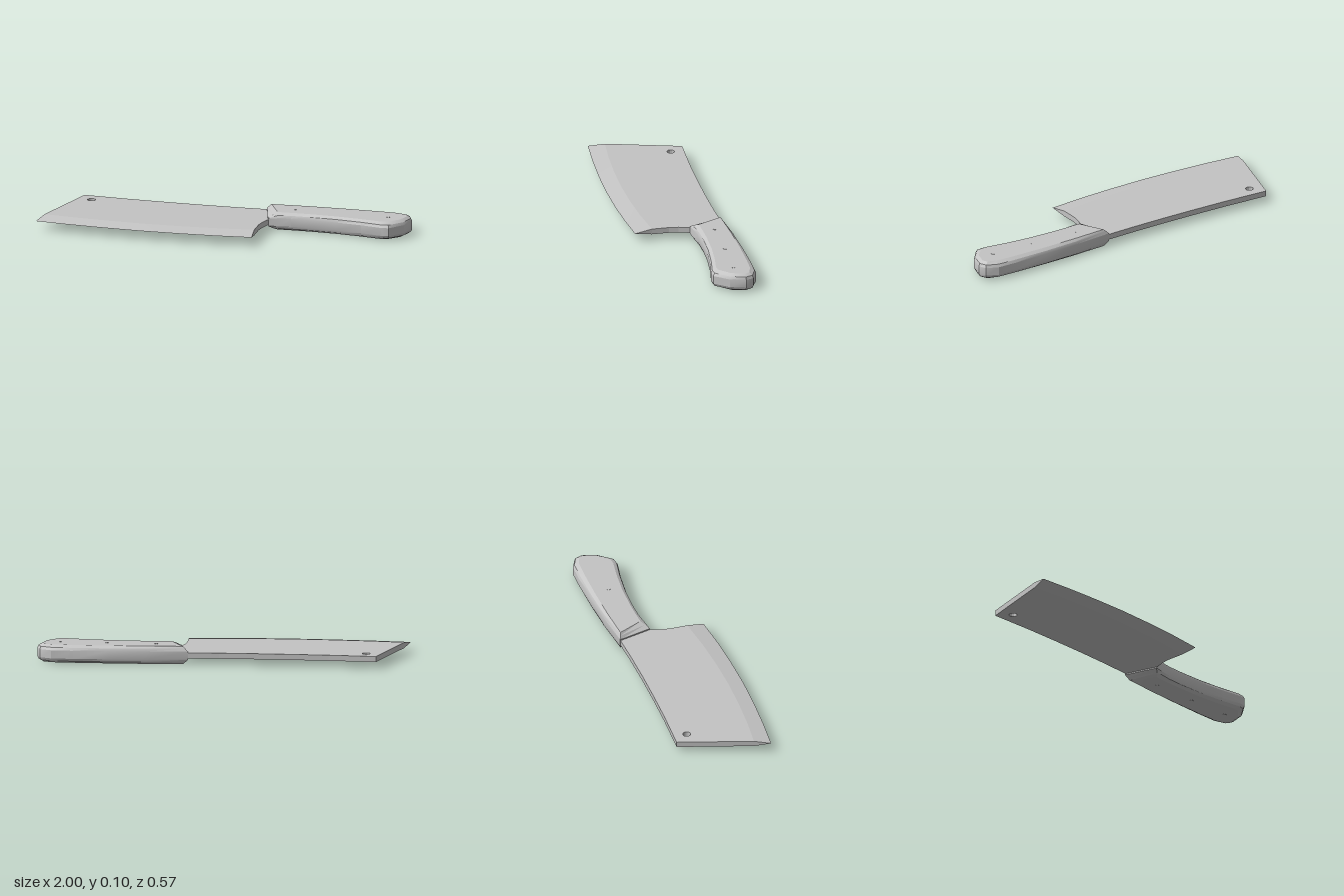
import * as THREE from 'three';
import { toCreasedNormals } from 'three/addons/utils/BufferGeometryUtils.js';

const BOTTOM = 0.037, TOP = 0.068, MID = 0.0525;

function meshFrom(points, index, name, material, crease) {
  const g = new THREE.BufferGeometry();
  g.setAttribute('position', new THREE.Float32BufferAttribute(points, 3));
  g.setIndex(index);
  const mesh = new THREE.Mesh(toCreasedNormals(g, crease), material);
  mesh.name = name;
  return mesh;
}

// Line where the flat blade meets the ground edge, and the cutting edge, as [x, z]
const grind = [[-0.975, 0.165], [-0.8, 0.182], [-0.6, 0.192], [-0.4, 0.195], [-0.2, 0.188], [0, 0.173], [0.205, 0.147]];
const edge = [[-1, 0.255], [-0.81, 0.27], [-0.6, 0.28], [-0.4, 0.283], [-0.19, 0.277], [0.01, 0.265], [0.215, 0.243]];
const spine = [[0.2, -0.244], [0.17, -0.244], [0, -0.236], [-0.2, -0.231], [-0.4, -0.23], [-0.6, -0.232], [-0.86, -0.241]];
const heel = [[0.203, 0.05], [0.21, 0], [0.228, -0.06], [0.245, -0.1]];

function bladeBody(material) {
  const shape = new THREE.Shape([...grind, ...heel, ...spine].map(([x, z]) => new THREE.Vector2(x, -z)));
  const hole = new THREE.Path();
  hole.absarc(-0.8, 0.165, 0.022, 0, Math.PI * 2, true);
  shape.holes.push(hole);
  const g = new THREE.ExtrudeGeometry(shape, { depth: TOP - BOTTOM, bevelEnabled: false, curveSegments: 6 });
  g.rotateX(-Math.PI / 2).translate(0, BOTTOM, 0);
  const mesh = new THREE.Mesh(g, material);
  mesh.name = 'bladeBody';
  return mesh;
}

// Wedge tapering from the full blade thickness to the cutting edge
function cuttingEdge(material) {
  const points = [], index = [];
  grind.forEach(([x, z], i) => {
    points.push(x, TOP, z, edge[i][0], MID, edge[i][1], x, BOTTOM, z);
    if (i === grind.length - 1) return;
    const t = i * 3, e = t + 1, b = t + 2;
    index.push(t, e, e + 3, t, e + 3, t + 3);
    index.push(b, e + 3, e, b, b + 3, e + 3);
  });
  const last = (grind.length - 1) * 3;
  index.push(0, 2, 1, last, last + 1, last + 2);
  return meshFrom(points, index, 'cuttingEdge', material, 0.3);
}

// Handle outline at its widest, and the matching outline of its flat faces: [x, z, flatX, flatZ]
const grip = [
  [0.225, -0.06, 0.27, -0.1], [0.27, -0.068, 0.3, -0.102], [0.35, -0.08, 0.36, -0.105],
  [0.45, -0.084, 0.45, -0.107], [0.6, -0.08, 0.6, -0.104], [0.75, -0.065, 0.74, -0.092],
  [0.87, -0.045, 0.855, -0.076], [0.91, -0.05, 0.89, -0.08], [0.975, -0.13, 0.95, -0.14],
  [0.998, -0.215, 0.972, -0.212], [0.98, -0.258, 0.958, -0.24], [0.915, -0.287, 0.9, -0.256],
  [0.8, -0.288, 0.8, -0.259], [0.6, -0.282, 0.6, -0.257], [0.4, -0.269, 0.4, -0.25],
  [0.17, -0.246, 0.198, -0.236],
];

function handle(material) {
  const n = grip.length, points = [], index = [];
  const layers = [[0.003, 1], [0.015, 0.25], [0.03, 0], [0.075, 0], [0.09, 0.25], [0.102, 1]];
  layers.forEach(([y, inset], k) => {
    grip.forEach(([x, z, fx, fz], j) => {
      const front = j === 0 || j === n - 1;
      const t = front && inset === 0.25 ? 0.5 : inset;
      points.push(x + (fx - x) * t, y, z + (fz - z) * t);
      if (k === 0) return;
      const a = (k - 1) * n + j, b = (k - 1) * n + (j + 1) % n;
      index.push(a, b, b + n, a, b + n, a + n);
    });
  });
  // Flat top and bottom
  const flat = grip.map(([, , x, z]) => new THREE.Vector2(x, -z));
  const top = (layers.length - 1) * n;
  for (const [a, b, c] of THREE.ShapeUtils.triangulateShape(flat, [])) {
    index.push(top + a, top + b, top + c, a, c, b);
  }
  return meshFrom(points, index, 'handle', material, 0.4);
}

// Small pins almost flush with both flat faces of the handle
function rivets(material) {
  const group = new THREE.Group();
  group.name = 'rivets';
  const pin = new THREE.CylinderGeometry(0.011, 0.011, 0.1, 10);
  for (const [x, z] of [[0.35, -0.175], [0.62, -0.175], [0.875, -0.17]]) {
    const mesh = new THREE.Mesh(pin, material);
    mesh.name = 'rivet';
    mesh.position.set(x, 0.0525, z);
    mesh.scale.y = 1.01;
    group.add(mesh);
  }
  return group;
}

export function createModel() {
  const steel = new THREE.MeshStandardMaterial({ color: 0xc4c4c4 });
  steel.name = 'steelGrey';
  const model = new THREE.Group();
  model.name = 'cleaver';
  model.add(bladeBody(steel), cuttingEdge(steel), handle(steel), rivets(steel));
  return model;
}
